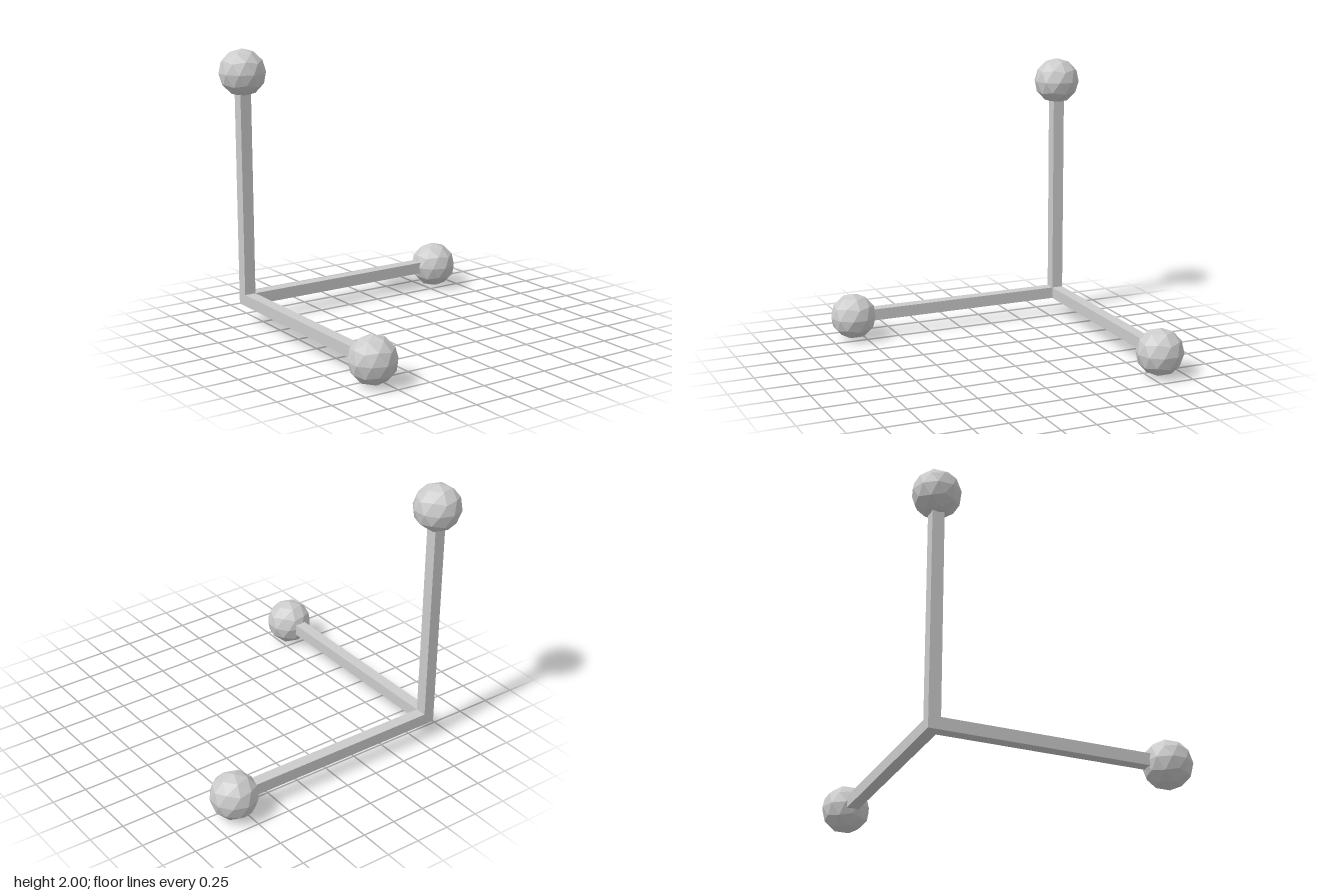
import * as THREE from 'three';

export function createModel() {
  const group = new THREE.Group();
  const material = new THREE.MeshStandardMaterial({ color: 0xcccccc, flatShading: true });
  const R = 0.17;      // ball radius
  const C = 0.83;      // corner offset from the centre
  const L = 2 * C;     // bar length from corner to ball centre
  const W = 0.085;     // bar thickness
  const corner = new THREE.Vector3(-C, R, -C);

  // Faceted ball, turned so that one vertex points straight up
  const ball = new THREE.IcosahedronGeometry(R, 1);
  ball.rotateZ(-Math.atan(2 / (1 + Math.sqrt(5))));

  function addArm(name, axis, start) {
    // Square bar running from the corner into the ball
    const length = L - start;
    const size = [0, 1, 2].map((i) => (i === axis ? length : W));
    const bar = new THREE.Mesh(new THREE.BoxGeometry(...size), material);
    bar.name = name + 'Bar';
    bar.position.copy(corner);
    bar.position.setComponent(axis, corner.getComponent(axis) + start + length / 2);

    // Ball at the far end
    const end = new THREE.Mesh(ball, material);
    end.name = name + 'Ball';
    end.position.copy(corner);
    end.position.setComponent(axis, corner.getComponent(axis) + L);

    const arm = new THREE.Group();
    arm.name = name + 'Arm';
    arm.add(bar, end);
    group.add(arm);
  }

  // The upright fills the corner; the other two butt against it
  addArm('upright', 1, -W / 2);
  addArm('side', 0, W / 2);
  addArm('front', 2, W / 2);

  return group;
}
